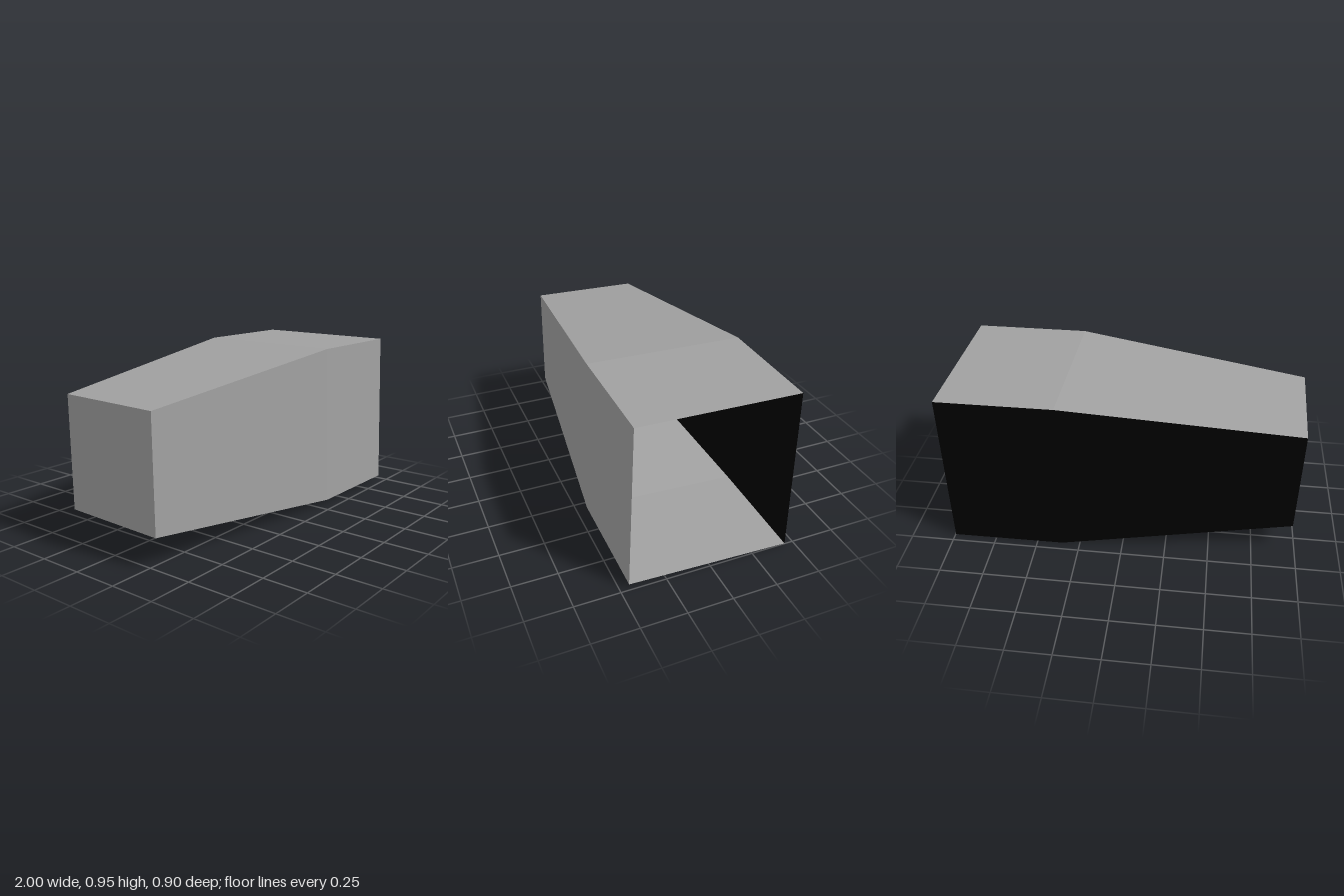
import * as THREE from 'three';

// Cross-sections from the closed end to the open end.
// Corner order: front top, back top, back bottom, front bottom.
const rings = [
  [[-1.0, 0.793, 0.283], [-0.975, 0.793, -0.337], [-0.975, 0.167, -0.33], [-1.0, 0.167, 0.292]],
  [[0.33, 0.947, 0.415], [0.35, 0.945, -0.455], [0.35, 0.006, -0.455], [0.33, 0.028, 0.446]],
  [[0.98, 0.943, 0.42], [0.998, 0.94, -0.449], [0.998, 0.0, -0.452], [0.984, 0.022, 0.45]],
];

// Flat-faced surface from four-cornered faces
function quads(name, faces, material) {
  const points = faces.flatMap(([a, b, c, d]) => [a, b, c, a, c, d]).flat();
  const geometry = new THREE.BufferGeometry();
  geometry.setAttribute('position', new THREE.Float32BufferAttribute(points, 3));
  geometry.computeVertexNormals();
  const mesh = new THREE.Mesh(geometry, material);
  mesh.name = name;
  return mesh;
}

// One wall running along the length of the duct
function wall(name, side, material) {
  const next = (side + 1) % 4;
  const faces = [0, 1].map((i) => [
    rings[i][side], rings[i + 1][side], rings[i + 1][next], rings[i][next],
  ]);
  return quads(name, faces, material);
}

export function createModel() {
  const grey = new THREE.MeshStandardMaterial({ color: 0xa0a0a0, side: THREE.DoubleSide });
  grey.name = 'grey';
  const black = new THREE.MeshStandardMaterial({ color: 0x000000, side: THREE.DoubleSide });
  black.name = 'black';

  const group = new THREE.Group();
  group.name = 'taperedDuct';

  // Four walls; the end at +x stays open
  ['topWall', 'backWall', 'bottomWall', 'frontWall'].forEach((name, side) => {
    group.add(wall(name, side, name === 'backWall' ? black : grey));
  });

  // Closed narrow end
  group.add(quads('endCap', [rings[0]], grey));
  return group;
}
